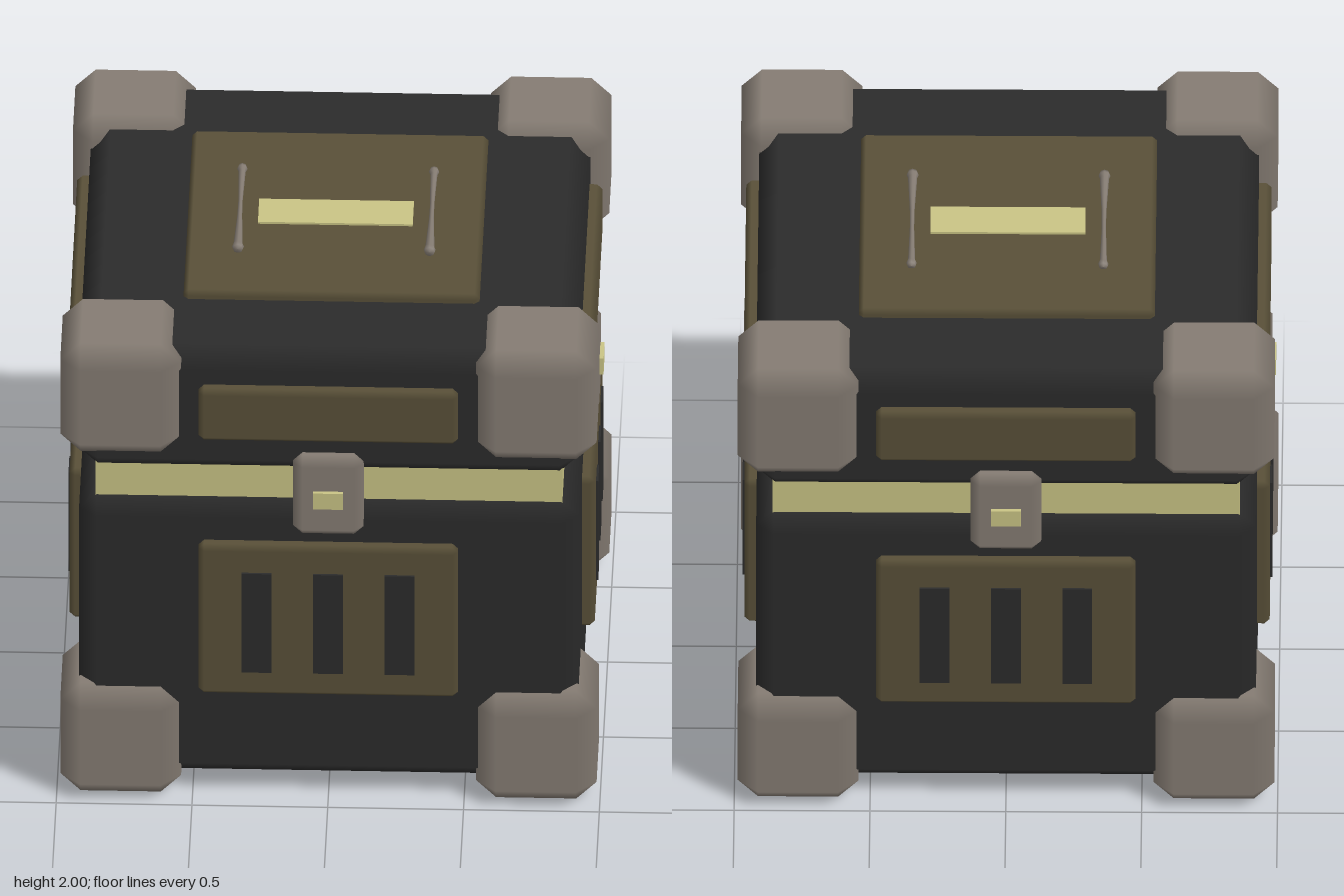
import * as THREE from 'three';
import { ConvexGeometry } from 'three/addons/geometries/ConvexGeometry.js';

const mat = (name, color) => {
  const m = new THREE.MeshStandardMaterial({ color });
  m.name = name;
  return m;
};

// Box with chamfered edges; normals follow the main faces so the chamfers shade softly
function bevelBox(w, h, d, c) {
  const half = [w / 2, h / 2, d / 2];
  const points = [];
  for (let axis = 0; axis < 3; axis++) {
    for (const sx of [-1, 1]) for (const sy of [-1, 1]) for (const sz of [-1, 1]) {
      const p = [sx, sy, sz].map((s, i) => s * (half[i] - (i === axis ? 0 : c)));
      points.push(new THREE.Vector3(...p));
    }
  }
  const geo = new ConvexGeometry(points);
  const pos = geo.attributes.position, nor = geo.attributes.normal;
  for (let i = 0; i < pos.count; i++) {
    const p = [pos.getX(i), pos.getY(i), pos.getZ(i)];
    const n = p.map((v, k) => (Math.abs(v) > half[k] - c * 0.1 ? Math.sign(v) : 0));
    nor.setXYZ(i, ...n);
  }
  return geo;
}

export function createModel() {
  const shell = mat('black shell', 0x2b2b2b);
  const olive = mat('olive panel', 0x595038);
  const metal = mat('warm grey metal', 0x857c73);
  const yellow = mat('pale yellow', 0xcac485);
  const root = new THREE.Group();
  root.name = 'crate';

  const add = (parent, name, geo, material, x, y, z) => {
    const mesh = new THREE.Mesh(geo, material);
    mesh.name = name;
    mesh.position.set(x, y, z);
    parent.add(mesh);
    return mesh;
  };

  // Main volumes
  add(root, 'body', bevelBox(1.84, 1.21, 1.84, 0.065), shell, 0, 0.675, 0);
  add(root, 'lid', bevelBox(1.84, 0.53, 1.84, 0.07), shell, 0, 1.67, 0);
  add(root, 'sealBand', new THREE.BoxGeometry(1.72, 0.2, 1.72), yellow, 0, 1.34, 0);

  // Corner guards
  const guard = bevelBox(0.445, 0.475, 0.445, 0.075);
  for (const x of [-1, 1]) for (const z of [-1, 1]) {
    add(root, 'lowerCornerGuard', guard, metal, x * 0.765, 0.24, z * 0.765);
    add(root, 'upperCornerGuard', guard, metal, x * 0.765, 1.738, z * 0.765);
  }

  // Four identical sides: panels, vents and latch
  const lidPanel = bevelBox(0.955, 0.225, 0.1, 0.02);
  const sidePanel = bevelBox(0.955, 0.655, 0.1, 0.02);
  const vent = new THREE.BoxGeometry(0.11, 0.435, 0.009);
  const latch = bevelBox(0.26, 0.345, 0.13, 0.035);
  const light = new THREE.BoxGeometry(0.11, 0.07, 0.04);
  for (let i = 0; i < 4; i++) {
    const side = new THREE.Group();
    side.name = 'side';
    side.rotation.y = i * Math.PI / 2;
    add(side, 'lidPanel', lidPanel, olive, 0, 1.695, 0.917);
    add(side, 'sidePanel', sidePanel, olive, 0, 0.795, 0.917);
    for (const x of [-0.263, 0, 0.263]) add(side, 'vent', vent, shell, x, 0.793, 0.971);
    add(side, 'latch', latch, metal, 0, 1.343, 0.907);
    add(side, 'latchLight', light, yellow, 0, 1.343, 0.967);
    root.add(side);
  }

  // Top plate with stripe
  add(root, 'topPanel', bevelBox(1.09, 0.08, 1.09, 0.018), olive, 0, 1.926, 0);
  add(root, 'topStripe', new THREE.BoxGeometry(0.57, 0.009, 0.155), yellow, 0, 1.97, 0.005);

  // Slim handles, waisted in the middle with a knob at each end
  const profile = [[0, -0.285], [0.016, -0.28], [0.019, -0.265], [0.013, -0.245], [0.008, -0.05],
    [0.009, 0.05], [0.017, 0.245], [0.022, 0.262], [0.019, 0.277], [0, 0.28]];
  const bar = new THREE.LatheGeometry(profile.map(p => new THREE.Vector2(...p)), 8);
  for (const x of [-0.353, 0.353]) {
    const handle = add(root, 'handle', bar, metal, x, 1.98, 0);
    handle.rotation.x = Math.PI / 2 - 0.012;
  }
  return root;
}
